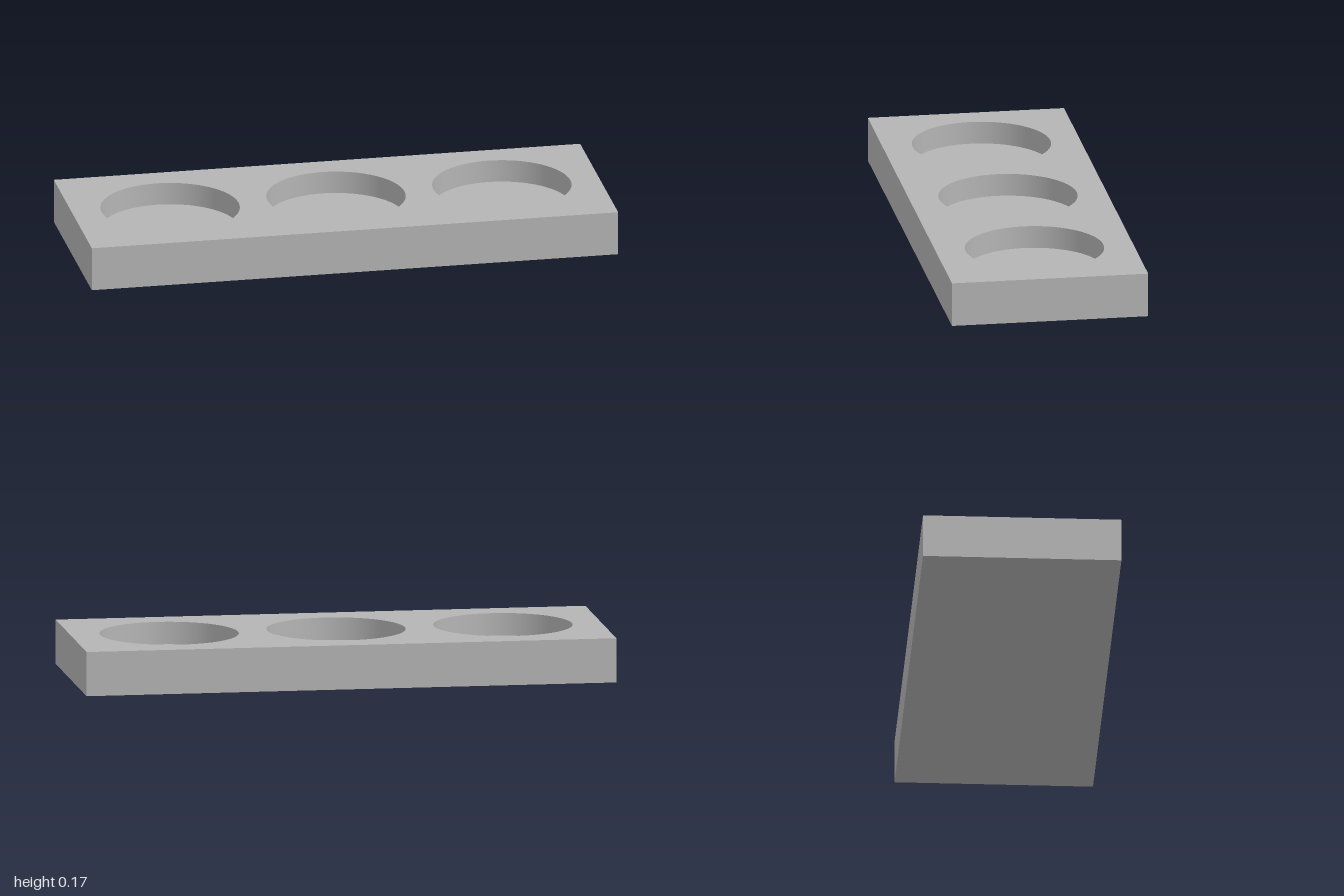
import * as THREE from 'three';

const LENGTH = 2, HEIGHT = 0.167, DEPTH = 0.741;
const RADIUS = 0.26, SPACING = 0.63, POCKET = 0.085, SIDES = 64;

export function createModel() {
  const group = new THREE.Group();
  const grey = new THREE.MeshStandardMaterial({ color: 0xb4b4b4 });
  grey.name = 'grey';

  function add(name, geometry, x, y) {
    const mesh = new THREE.Mesh(geometry, grey);
    mesh.name = name;
    mesh.position.set(x, y, 0);
    group.add(mesh);
  }

  // Block sides and underside: a box with its top face left out
  const block = new THREE.BoxGeometry(LENGTH, HEIGHT, DEPTH);
  const index = Array.from(block.index.array);
  index.splice(12, 6);
  block.setIndex(index);
  block.clearGroups();
  add('blockSides', block, 0, HEIGHT / 2);

  // Top face outline, pierced by the three round pockets
  const w = LENGTH / 2, d = DEPTH / 2;
  const outline = new THREE.Shape([
    new THREE.Vector2(-w, -d), new THREE.Vector2(w, -d),
    new THREE.Vector2(w, d), new THREE.Vector2(-w, d),
  ]);

  for (const x of [-SPACING, 0, SPACING]) {
    outline.holes.push(new THREE.Path().absarc(x, 0, RADIUS, 0, Math.PI * 2, true));

    // Pocket wall, profiled downwards so that it faces inwards
    const wall = new THREE.LatheGeometry(
      [new THREE.Vector2(RADIUS, 0), new THREE.Vector2(RADIUS, -POCKET)], SIDES);
    add('pocketWall', wall, x, HEIGHT);

    // Pocket floor
    const floor = new THREE.CircleGeometry(RADIUS, SIDES).rotateX(-Math.PI / 2);
    add('pocketFloor', floor, x, HEIGHT - POCKET);
  }

  const top = new THREE.ShapeGeometry(outline, SIDES / 2).rotateX(-Math.PI / 2);
  add('topFace', top, 0, HEIGHT);

  return group;
}
